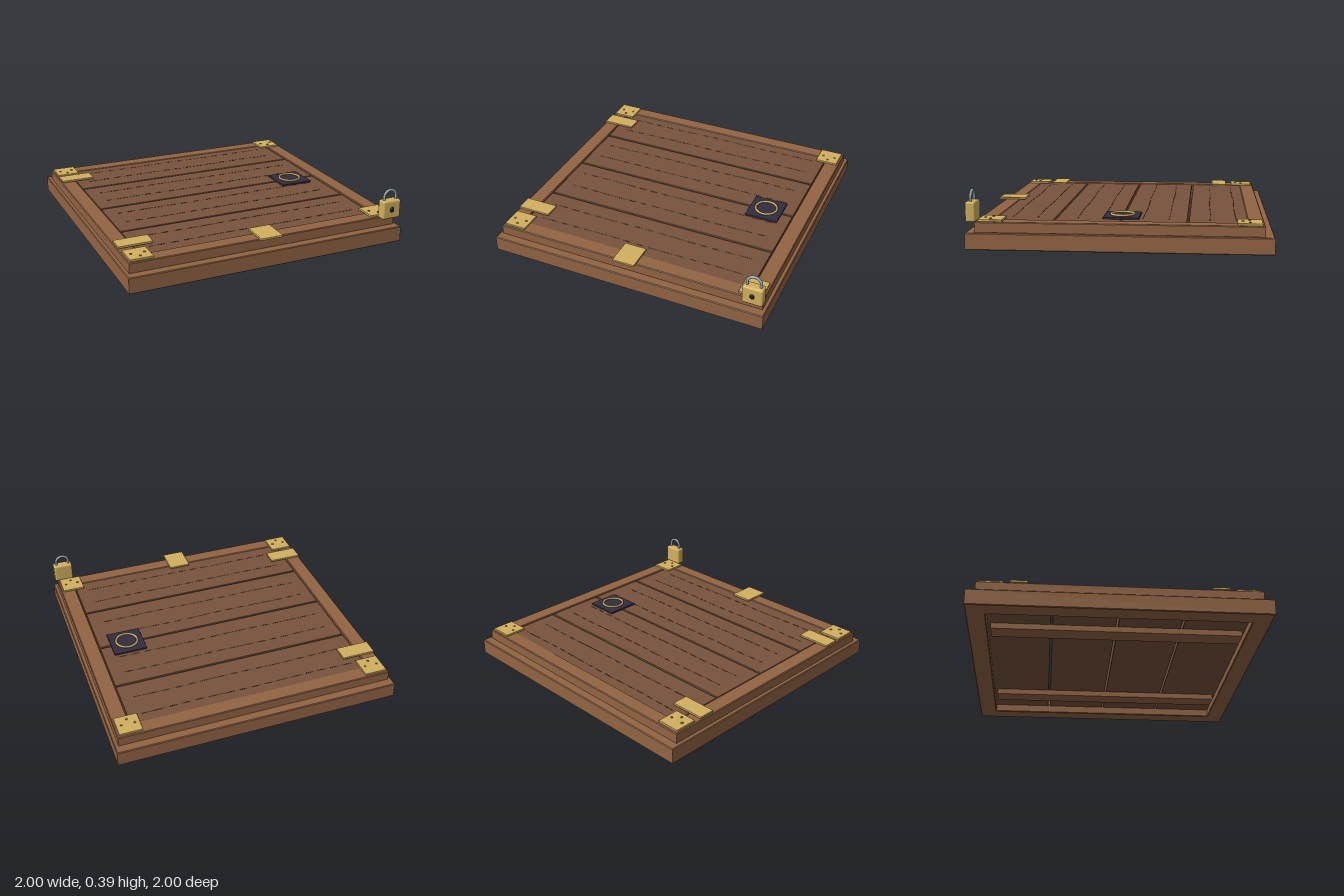
import * as THREE from 'three';
import { RoundedBoxGeometry } from 'three/addons/geometries/RoundedBoxGeometry.js';

const mat = (color) => new THREE.MeshStandardMaterial({ color });

export function createModel() {
  const root = new THREE.Group();
  const frameWood = mat(0x926443), plankWood = mat(0x78533c), grain = mat(0x432c1e);
  const brass = mat(0xd2b05e), darkBrass = mat(0x9a7f40);
  const iron = mat(0x332d40), steel = mat(0x97a5ad), black = mat(0x1c1a1c);

  const add = (name, geo, material, x, y, z, parent = root) => {
    const m = new THREE.Mesh(geo, material);
    m.name = name;
    m.position.set(x, y, z);
    parent.add(m);
    return m;
  };
  // Box given by its ranges on each axis
  const box = (name, material, x0, x1, y0, y1, z0, z1, r = 0) => {
    const s = [x1 - x0, y1 - y0, z1 - z0];
    const geo = r ? new RoundedBoxGeometry(...s, 2, r) : new THREE.BoxGeometry(...s);
    return add(name, geo, material, (x0 + x1) / 2, (y0 + y1) / 2, (z0 + z1) / 2);
  };
  const rect = (path, w, d) => path.moveTo(-w, -d).lineTo(w, -d).lineTo(w, d).lineTo(-w, d).closePath();
  // Rectangular frame lying flat, with a small chamfer
  const frame = (name, w, d, iw, id, y0, y1) => {
    const b = 0.005;
    const shape = rect(new THREE.Shape(), w - b, d - b);
    shape.holes.push(rect(new THREE.Path(), iw + b, id + b));
    const geo = new THREE.ExtrudeGeometry(shape, {
      depth: y1 - y0 - 2 * b, bevelEnabled: true, bevelSize: b, bevelThickness: b, bevelSegments: 1,
    });
    geo.rotateX(-Math.PI / 2);
    return add(name, geo, frameWood, 0, y0 + b, -0.002);
  };

  // Outer curb and the smaller lid frame on it
  frame('baseFrame', 1, 0.998, 0.87, 0.87, 0, 0.112);
  frame('lidFrame', 0.975, 0.937, 0.866, 0.832, 0.108, 0.182);

  // Four thick planks with narrow gaps, each with two grain lines
  const plankTop = 0.177, plankBottom = 0.052;
  for (let i = 0; i < 4; i++) {
    const z = -0.665 + i * 0.44;
    box('plank', plankWood, -0.86, 0.86, plankBottom, plankTop, z - 0.214, z + 0.214, 0.004);
    for (const s of [-1, 1]) {
      const pts = [];
      for (let k = 0; k <= 34; k++) {
        pts.push(new THREE.Vector3(-0.77 + k * 0.0453,
          plankTop - 0.0015 + 0.0015 * Math.sin(k * 2.85 + i),
          z - 0.008 + s * 0.085 + 0.003 * Math.sin(k * 0.35 + i * 2 + s)));
      }
      add('grainLine', new THREE.TubeGeometry(new THREE.CatmullRomCurve3(pts), 100, 0.003, 6), grain, 0, 0, 0);
    }
  }

  // Battens under the planks
  for (const x of [-0.58, 0.58]) box('batten', frameWood, x - 0.065, x + 0.065, 0.012, plankBottom + 0.003, -0.85, 0.85);

  // Corner plates with three rivets
  for (const x of [-0.882, 0.88]) {
    for (const z of [-0.843, 0.838]) {
      box('cornerPlate', brass, x - 0.08, x + 0.08, 0.181, 0.196, z - 0.08, z + 0.08, 0.003);
      for (const [dx, dz] of [[-0.045, 0], [0.045, 0], [0, 0.045]]) {
        add('rivet', new THREE.CylinderGeometry(0.008, 0.009, 0.008, 12), darkBrass, x + dx, 0.197, z + dz);
      }
    }
  }

  // Hinge leaves and front hasp
  for (const z of [-0.663, 0.658]) box('hinge', brass, -0.971, -0.731, 0.187, 0.202, z - 0.058, z + 0.058, 0.003);
  box('hasp', brass, -0.08, 0.08, 0.187, 0.202, 0.779, 0.975, 0.003);

  // Pull ring on its dark plate
  box('ringPlate', iron, 0.54, 0.78, 0.175, 0.189, -0.122, 0.117, 0.002);
  add('pullRing', new THREE.TorusGeometry(0.077, 0.008, 10, 48).rotateX(Math.PI / 2), brass, 0.66, 0.196, -0.003);

  // Padlock: body, shackle and keyhole
  const lock = new THREE.Group();
  lock.name = 'padlock';
  lock.position.set(0.918, 0, 0.958);
  root.add(lock);
  add('lockBody', new RoundedBoxGeometry(0.142, 0.134, 0.068, 3, 0.014), brass, 0, 0.248, 0, lock);
  add('shackleArch', new THREE.TorusGeometry(0.047, 0.0095, 10, 28, Math.PI), steel, 0, 0.336, 0, lock);
  for (const x of [-0.047, 0.047]) {
    add('shackleLeg', new THREE.CylinderGeometry(0.0095, 0.0095, 0.04, 10), steel, x, 0.317, 0, lock);
  }
  add('keyhole', new THREE.SphereGeometry(1, 20, 12).scale(0.016, 0.021, 0.01), black, 0, 0.248, 0.033, lock);

  return root;
}
